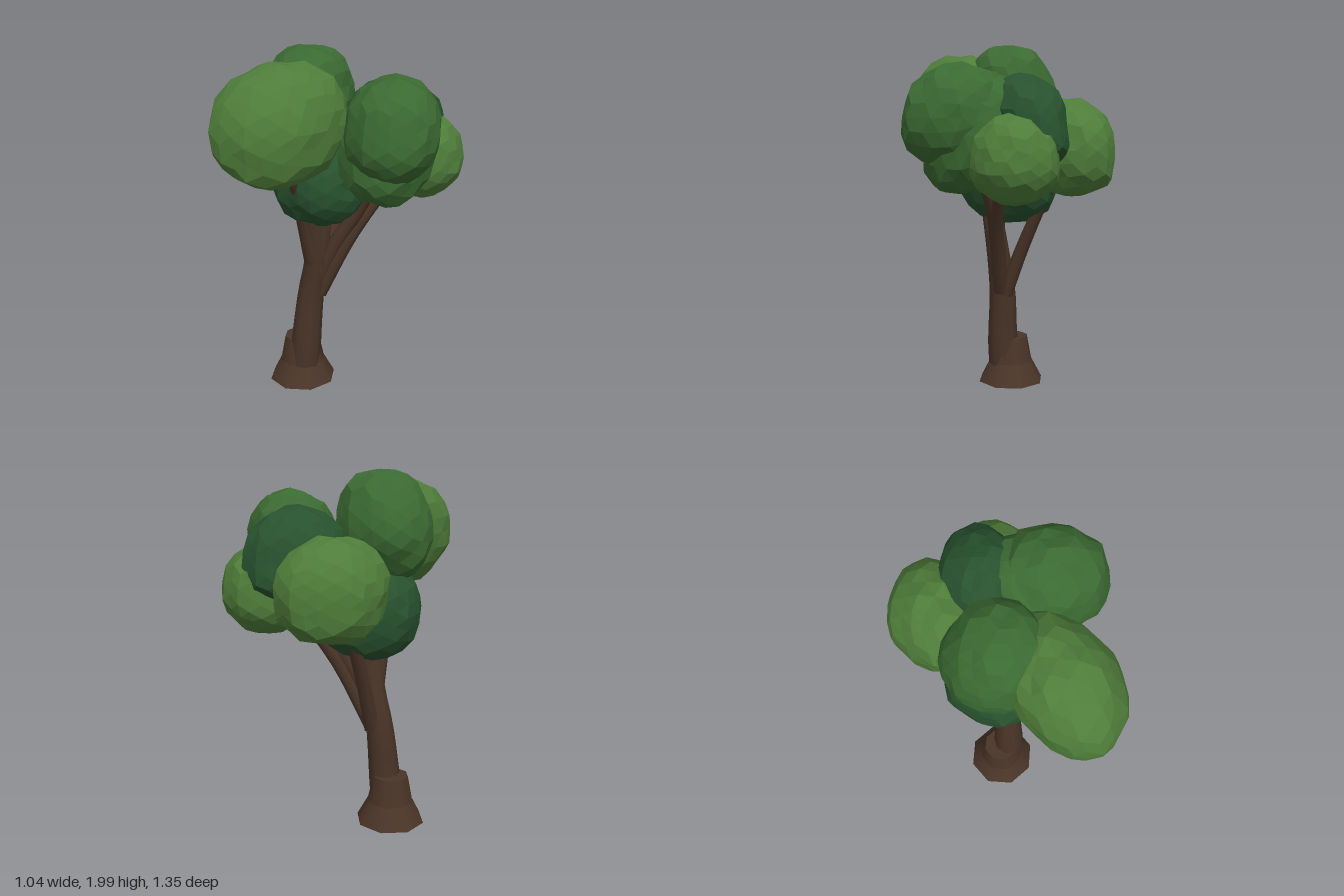
import * as THREE from 'three';

const bark = new THREE.MeshStandardMaterial({ color: 0x4a3528, side: THREE.DoubleSide });
const leaf = (color) => new THREE.MeshStandardMaterial({ color, flatShading: true });
const light = leaf(0x4f7d3a), mid = leaf(0x3b6a32), dark = leaf(0x28522f);

// Faceted clump: a slightly boxy ellipsoid with bumps that depend only on direction.
// skew = [x per y, z per y, x per z] slants it
function foliage(name, material, centre, radii, boxiness, skew, seed) {
  const geo = new THREE.IcosahedronGeometry(1, 3);
  const pos = geo.attributes.position;
  const v = new THREE.Vector3();
  for (let i = 0; i < pos.count; i++) {
    v.fromBufferAttribute(pos, i).normalize();
    const broad = Math.sin(v.x * 3.1 + seed) * Math.sin(v.y * 2.7 + seed * 2) * Math.cos(v.z * 3.3 + seed * 3);
    const fine = Math.sin(v.x * 13 + seed * 5) * Math.cos(v.y * 15 + seed) + Math.sin(v.z * 14 + seed * 7 + v.x * 5);
    const norm = Math.abs(v.x) ** boxiness + Math.abs(v.y) ** boxiness + Math.abs(v.z) ** boxiness;
    v.multiplyScalar((1 + 0.03 * broad + 0.025 * fine) / norm ** (1 / boxiness));
    pos.setXYZ(i,
      v.x * radii[0] + skew[0] * v.y + skew[2] * v.z,
      v.y * radii[1],
      v.z * radii[2] + skew[1] * v.y);
  }
  geo.computeVertexNormals();
  const mesh = new THREE.Mesh(geo, material);
  mesh.name = name;
  mesh.position.set(...centre);
  return mesh;
}

// Open tube along a curve whose radius is interpolated from a list
function limb(name, points, radii, sides = 8) {
  const curve = new THREE.CatmullRomCurve3(points.map((p) => new THREE.Vector3(...p)));
  const rings = 12;
  const geo = new THREE.TubeGeometry(curve, rings, 1, sides, false);
  const pos = geo.attributes.position;
  const v = new THREE.Vector3();
  for (let i = 0; i <= rings; i++) {
    const c = curve.getPointAt(i / rings);
    const t = (i / rings) * (radii.length - 1);
    const k = Math.min(Math.floor(t), radii.length - 2);
    const r = THREE.MathUtils.lerp(radii[k], radii[k + 1], t - k);
    for (let j = 0; j <= sides; j++) {
      const n = i * (sides + 1) + j;
      v.fromBufferAttribute(pos, n).sub(c).multiplyScalar(r).add(c);
      pos.setXYZ(n, v.x, v.y, v.z);
    }
  }
  geo.computeBoundingSphere();
  const mesh = new THREE.Mesh(geo, bark);
  mesh.name = name;
  return mesh;
}

export function createModel() {
  const tree = new THREE.Group();
  tree.name = 'tree';

  // Root flare, open below, with a capped collar
  const base = new THREE.Group();
  base.name = 'rootFlare';
  base.position.set(-0.325, 0, 0.03);
  const flare = new THREE.Mesh(new THREE.CylinderGeometry(0.13, 0.194, 0.12, 8, 1, true), bark);
  flare.name = 'flare';
  flare.position.y = 0.09;
  const collar = new THREE.Mesh(new THREE.CylinderGeometry(0.1, 0.13, 0.15, 8, 1, true), bark);
  collar.name = 'collar';
  collar.position.y = 0.225;
  const cap = new THREE.Mesh(new THREE.CircleGeometry(0.1, 8, Math.PI / 2), bark);
  cap.name = 'collarTop';
  cap.rotation.x = -Math.PI / 2;
  cap.position.y = 0.3;
  base.add(flare, collar, cap);
  tree.add(base);

  // Trunk
  tree.add(limb('trunk',
    [[-0.305, 0.008, 0.055], [-0.277, 0.3, 0.06], [-0.25, 0.58, 0.048], [-0.205, 0.83, 0.055], [-0.205, 1.08, 0.1]],
    [0.092, 0.089, 0.078, 0.066, 0.055], 9));

  // Branches reaching into the crown
  const branches = [
    ['frontBranch', [[-0.21, 0.8, 0.06], [-0.235, 1.08, 0.13], [-0.22, 1.3, 0.235], [-0.22, 1.55, 0.35]], [0.06, 0.045, 0.03, 0.02]],
    ['topBranch', [[-0.2, 0.75, 0.05], [-0.165, 1.1, 0.04], [-0.24, 1.65, 0]], [0.055, 0.045, 0.03]],
    ['leftBranch', [[-0.2, 0.6, 0.03], [-0.03, 0.95, -0.03], [0.13, 1.22, -0.13], [0.25, 1.4, -0.22]], [0.045, 0.04, 0.034, 0.02]],
    ['innerBranch', [[-0.2, 0.7, 0.04], [-0.11, 0.9, 0.01], [0.06, 1.18, -0.03], [0.2, 1.5, 0.03]], [0.05, 0.042, 0.034, 0.02]],
    ['backBranch', [[-0.215, 0.58, 0.01], [-0.2, 0.85, -0.1], [-0.18, 1.1, -0.22], [-0.15, 1.4, -0.38]], [0.045, 0.04, 0.034, 0.02]],
  ];
  for (const [name, points, radii] of branches) tree.add(limb(name, points, radii));

  // Leaf clumps: name, colour, centre, radii, boxiness, skew
  const clumps = [
    ['frontFoliage', light, [-0.23, 1.635, 0.345], [0.275, 0.305, 0.33], 2.25, [0, -0.05, -0.07]],
    ['topFoliage', mid, [-0.275, 1.715, 0.005], [0.24, 0.275, 0.24], 2.3, [0.03, 0.01, 0]],
    ['leftFoliage', mid, [0.255, 1.6, 0.05], [0.255, 0.27, 0.275], 2.15, [0, -0.03, 0.04]],
    ['innerFoliage', mid, [0.195, 1.51, -0.015], [0.24, 0.305, 0.25], 2.4, [-0.02, -0.07, 0]],
    ['lowerLeftFoliage', light, [0.27, 1.395, -0.29], [0.225, 0.23, 0.225], 2.2, [0, 0, 0]],
    ['upperBackFoliage', dark, [0.11, 1.575, -0.295], [0.23, 0.245, 0.22], 2.2, [0, 0.06, -0.06]],
    ['backFoliage', light, [-0.125, 1.435, -0.41], [0.25, 0.255, 0.265], 2.35, [0, 0.02, -0.05]],
    ['lowerFoliage', dark, [-0.2, 1.265, -0.03], [0.275, 0.26, 0.275], 2.3, [0, 0, 0]],
  ];
  clumps.forEach((c, i) => tree.add(foliage(...c, i * 1.7 + 0.6)));

  return tree;
}
